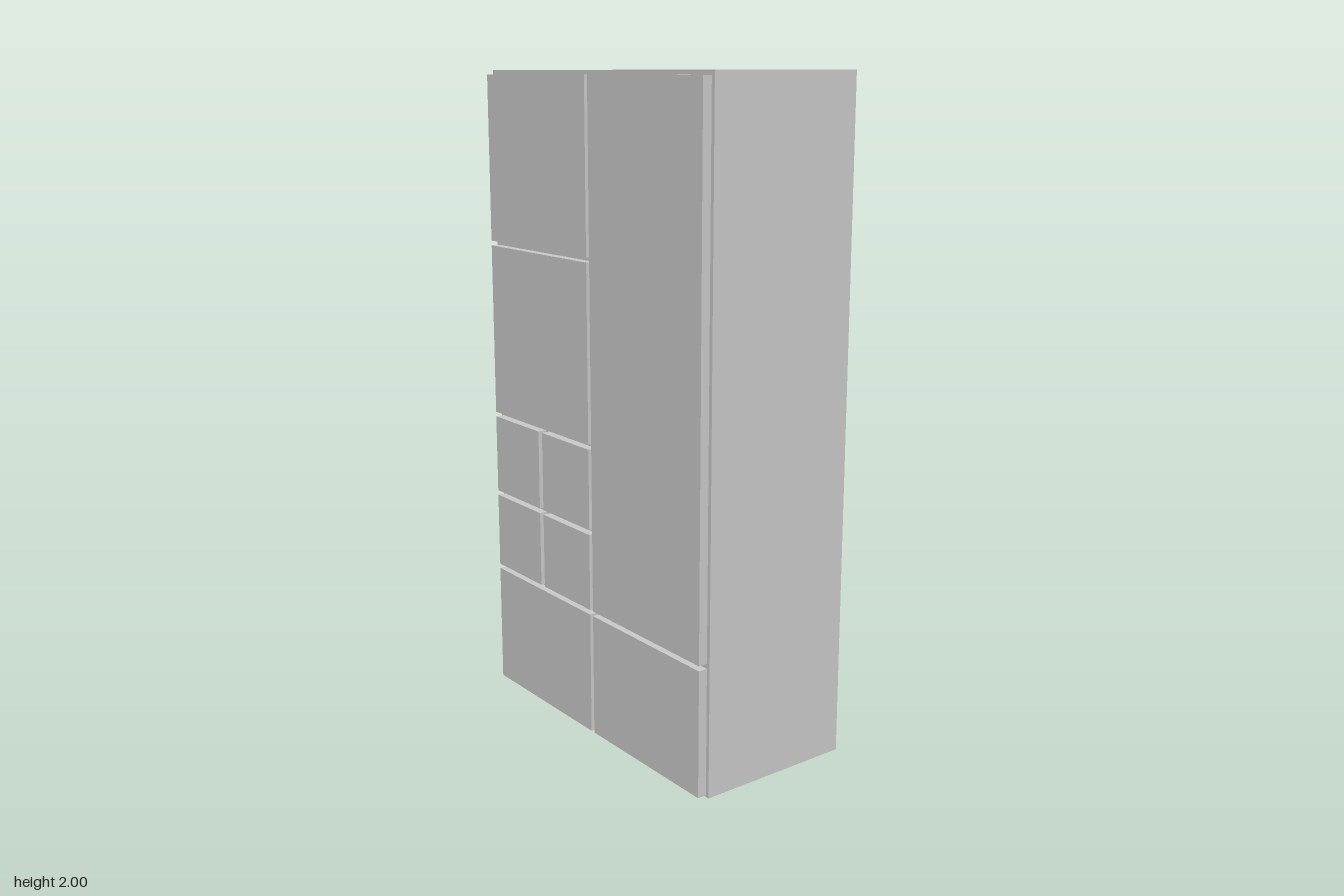
import * as THREE from 'three';

const BODY_FRONT = 0.234, FRONT = 0.262;

export function createModel() {
  const group = new THREE.Group();
  const material = new THREE.MeshStandardMaterial({ color: 0xcccccc, flatShading: true });

  // Box given by its extents on each axis
  function addBox(name, [x0, x1], [y0, y1], [z0, z1]) {
    const mesh = new THREE.Mesh(new THREE.BoxGeometry(x1 - x0, y1 - y0, z1 - z0), material);
    mesh.position.set((x0 + x1) / 2, (y0 + y1) / 2, (z0 + z1) / 2);
    mesh.name = name;
    group.add(mesh);
  }

  // Cabinet carcass
  addBox('cabinetBody', [-0.54, 0.54], [0, 2], [-FRONT, BODY_FRONT]);

  // Columns and rows of the door and drawer fronts
  const wide = [-0.528, 0], right = [0.015, 0.528];
  const small = [[-0.528, -0.274], [-0.254, 0]];
  const bottomRow = [0.005, 0.388];

  const fronts = [
    ['upperDoor', wide, [1.477, 1.987]],
    ['middleDoor', wide, [0.922, 1.462]],
    ['lowerLeftDrawer', wide, bottomRow],
    ['tallDoor', right, [0.403, 1.987]],
    ['lowerRightDrawer', right, bottomRow],
  ];
  // Two by two block of small drawers
  for (const rows of [[0.657, 0.907], [0.403, 0.642]])
    for (const columns of small) fronts.push(['smallDrawer', columns, rows]);

  for (const [name, x, y] of fronts) addBox(name, x, y, [BODY_FRONT, FRONT]);
  return group;
}
